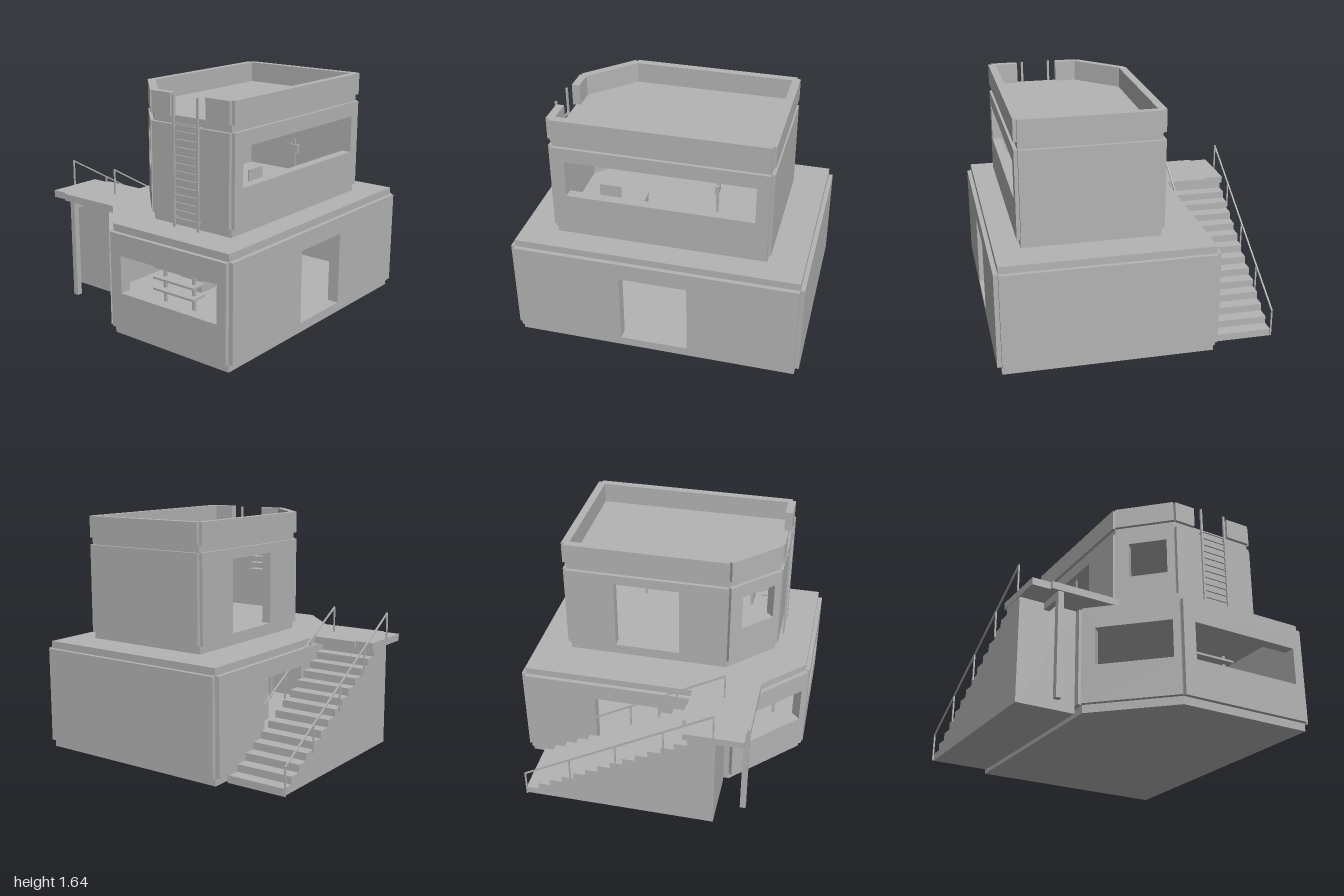
import * as THREE from 'three';

const concrete = new THREE.MeshStandardMaterial({ color: 0xb3b3b3 });
concrete.name = 'grey concrete';

function add(parent, geometry, name) {
  const mesh = new THREE.Mesh(geometry, concrete);
  mesh.name = name;
  parent.add(mesh);
  return mesh;
}

// Box given by its limits on each axis
function box(parent, name, x0, x1, y0, y1, z0, z1) {
  const mesh = add(parent, new THREE.BoxGeometry(x1 - x0, y1 - y0, z1 - z0), name);
  mesh.position.set((x0 + x1) / 2, (y0 + y1) / 2, (z0 + z1) / 2);
  return mesh;
}

// Round-free bar of square section between two points in a plane of constant z
function bar(parent, name, x0, y0, x1, y1, z, t) {
  const mesh = add(parent, new THREE.BoxGeometry(Math.hypot(x1 - x0, y1 - y0), t, t), name);
  mesh.position.set((x0 + x1) / 2, (y0 + y1) / 2, z);
  mesh.rotation.z = Math.atan2(y1 - y0, x1 - x0);
}

// Horizontal slab from a plan outline of [x, z] points
function slab(parent, name, outline, y0, y1) {
  const shape = new THREE.Shape(outline.map(([x, z]) => new THREE.Vector2(x, -z)));
  const geometry = new THREE.ExtrudeGeometry(shape, { depth: y1 - y0, bevelEnabled: false });
  geometry.rotateX(-Math.PI / 2).translate(0, y0, 0);
  add(parent, geometry, name);
}

// Upright plate along one wall, with rectangular openings [u0, u1, y0, y1]
function plate(parent, name, u0, u1, y0, y1, back, front, holes = []) {
  const rect = (Type, a, b, c, d) => new Type([[a, c], [b, c], [b, d], [a, d]].map(p => new THREE.Vector2(...p)));
  const shape = rect(THREE.Shape, u0, u1, y0, y1);
  for (const h of holes) shape.holes.push(rect(THREE.Path, ...h));
  const geometry = new THREE.ExtrudeGeometry(shape, { depth: front - back, bevelEnabled: false });
  geometry.translate(0, 0, back);
  add(parent, geometry, name);
}

// Ring of walls; build() fills each with plates in its own (along, up, outward) frame
function wallRing(parent, name, outline, build) {
  outline.forEach(([x, z], i) => {
    const [x2, z2] = outline[(i + 1) % outline.length];
    const wall = new THREE.Group();
    wall.name = name + 'Wall' + (i + 1);
    wall.position.set(x, 0, z);
    wall.rotation.y = Math.atan2(z - z2, x2 - x);
    build(wall, Math.hypot(x2 - x, z2 - z), i);
    parent.add(wall);
  });
}

export function createModel() {
  const model = new THREE.Group();
  model.name = 'watchHouse';

  // Lower storey: core walls with a raised cladding panel on each
  const lower = [[-0.97, 0.93], [0.97, 0.93], [0.97, -0.5], [-0.515, -0.5], [-0.97, -0.04]];
  const lowerHoles = [
    [[0.735, 1.2, 0.09, 0.6]], [], [[0.51, 0.97, 0.09, 0.6]],
    [[0.09, 0.6, 0.31, 0.57]], [[0.09, 0.9, 0.31, 0.57]],
  ];
  wallRing(model, 'lower', lower, (wall, length, i) => {
    plate(wall, 'core', 0, length, 0, 0.72, -0.05, 0, lowerHoles[i]);
    plate(wall, 'cladding', 0, length, 0.055, 0.72, 0, 0.03, lowerHoles[i]);
  });
  slab(model, 'groundFloor', lower, 0, 0.088);

  // Terrace slab, reaching out at the back as the stair landing
  slab(model, 'terrace', [
    [-0.97, 0.93], [0.97, 0.93], [0.97, -0.5], [-0.235, -0.5], [-0.235, -0.82], [-0.26, -0.82],
    [-0.26, -0.95], [-0.67, -0.95], [-0.67, -0.82], [-0.69, -0.82], [-0.69, -0.325], [-0.97, -0.04],
  ], 0.72, 0.77);
  box(model, 'landingColumn', -0.68, -0.64, 0, 0.72, -0.77, -0.73);
  box(model, 'landingBeam', -0.68, -0.47, 0.67, 0.72, -0.77, -0.73);

  // Upper storey
  const upper = [[-0.72, 0.75], [0.72, 0.75], [0.72, -0.19], [-0.42, -0.19], [-0.72, 0.11]];
  const upperHoles = [
    [[0.085, 1.355, 1.08, 1.34]], [], [[0.34, 0.8, 0.86, 1.37]], [[0.1, 0.37, 1.08, 1.34]], [],
  ];
  wallRing(model, 'upper', upper, (wall, length, i) => {
    plate(wall, 'core', 0, length, 0.77, 1.49, -0.045, 0, upperHoles[i]);
    plate(wall, 'cladding', 0, length, 0.825, 1.44, 0, 0.024, upperHoles[i]);
    // Parapet, open where the ladder arrives
    const spans = i === 4 ? [[0, 0.16], [0.45, length]] : [[0, length]];
    for (const [a, b] of spans) {
      plate(wall, 'parapetCore', a, b, 1.49, 1.64, -0.03, 0);
      plate(wall, 'parapetFace', a, b, 1.49, 1.64, 0, 0.024);
    }
  });
  slab(model, 'upperFloor', upper, 0.77, 0.858);
  slab(model, 'roof', upper, 1.44, 1.495);

  // Solid outside stair
  const rise = 0.0514, run = 0.0893, startX = 0.87, endX = -0.48;
  const profile = [[endX, 0], [startX, 0]];
  for (let i = 0; i < 14; i++) {
    profile.push([startX - i * run, (i + 1) * rise]);
    profile.push([i === 13 ? endX : startX - (i + 1) * run, (i + 1) * rise]);
  }
  const stair = new THREE.ExtrudeGeometry(
    new THREE.Shape(profile.map(p => new THREE.Vector2(...p))), { depth: 0.41, bevelEnabled: false });
  add(model, stair.translate(0, 0, -0.945), 'stair');

  // Sloping handrails with five posts each
  for (const z of [-0.953, -0.525]) {
    bar(model, 'handrail', 0.868, 0.19, -0.468, 0.955, z, 0.01);
    for (let i = 0; i < 5; i++) {
      const x = 0.865 - i * 0.3325, y = 0.19 + i * 0.191;
      box(model, 'railPost', x - 0.005, x + 0.005, y - 0.19, y, z - 0.005, z + 0.005);
    }
  }

  // Roof ladder
  const ladder = new THREE.Group();
  ladder.name = 'ladder';
  model.add(ladder);
  for (const z of [0.315, 0.515]) {
    box(ladder, 'ladderRail', -0.77, -0.758, 0.77, 1.635, z - 0.008, z + 0.008);
    for (const y of [0.835, 1.44]) box(ladder, 'ladderBracket', -0.76, -0.72, y - 0.006, y + 0.006, z - 0.006, z + 0.006);
  }
  for (let i = 0; i < 13; i++) {
    const y = 0.83 + i * 0.052;
    box(ladder, 'rung', -0.768, -0.758, y - 0.005, y + 0.005, 0.315, 0.515);
  }

  // Furniture glimpsed through the openings
  box(model, 'deskTop', -0.5, -0.15, 0.99, 1.01, 0.5, 0.69);
  for (const x of [-0.5, -0.17]) box(model, 'deskSide', x, x + 0.02, 0.858, 0.99, 0.51, 0.68);
  box(model, 'deskScreen', -0.435, -0.29, 1.01, 1.14, 0.66, 0.67);
  box(model, 'stand', 0.32, 0.335, 0.858, 1.19, 0.49, 0.505);
  box(model, 'standHead', 0.315, 0.34, 1.09, 1.15, 0.46, 0.53);
  box(model, 'cabinet', -0.235, -0.155, 0.088, 0.4, -0.1, 0.1);
  box(model, 'cabinet', -0.155, -0.065, 0.088, 0.4, -0.1, 0.1);
  for (const y of [0.3, 0.38, 0.46]) box(model, 'shelf', -0.8, -0.68, y, y + 0.015, 0.15, 0.5);
  for (const z of [0.2, 0.45]) box(model, 'shelfPost', -0.75, -0.73, 0.088, 0.52, z, z + 0.02);
  for (const y of [1.15, 1.2, 1.25]) box(model, 'wallShelf', -0.67, -0.6, y, y + 0.012, 0.2, 0.33);
  return model;
}
